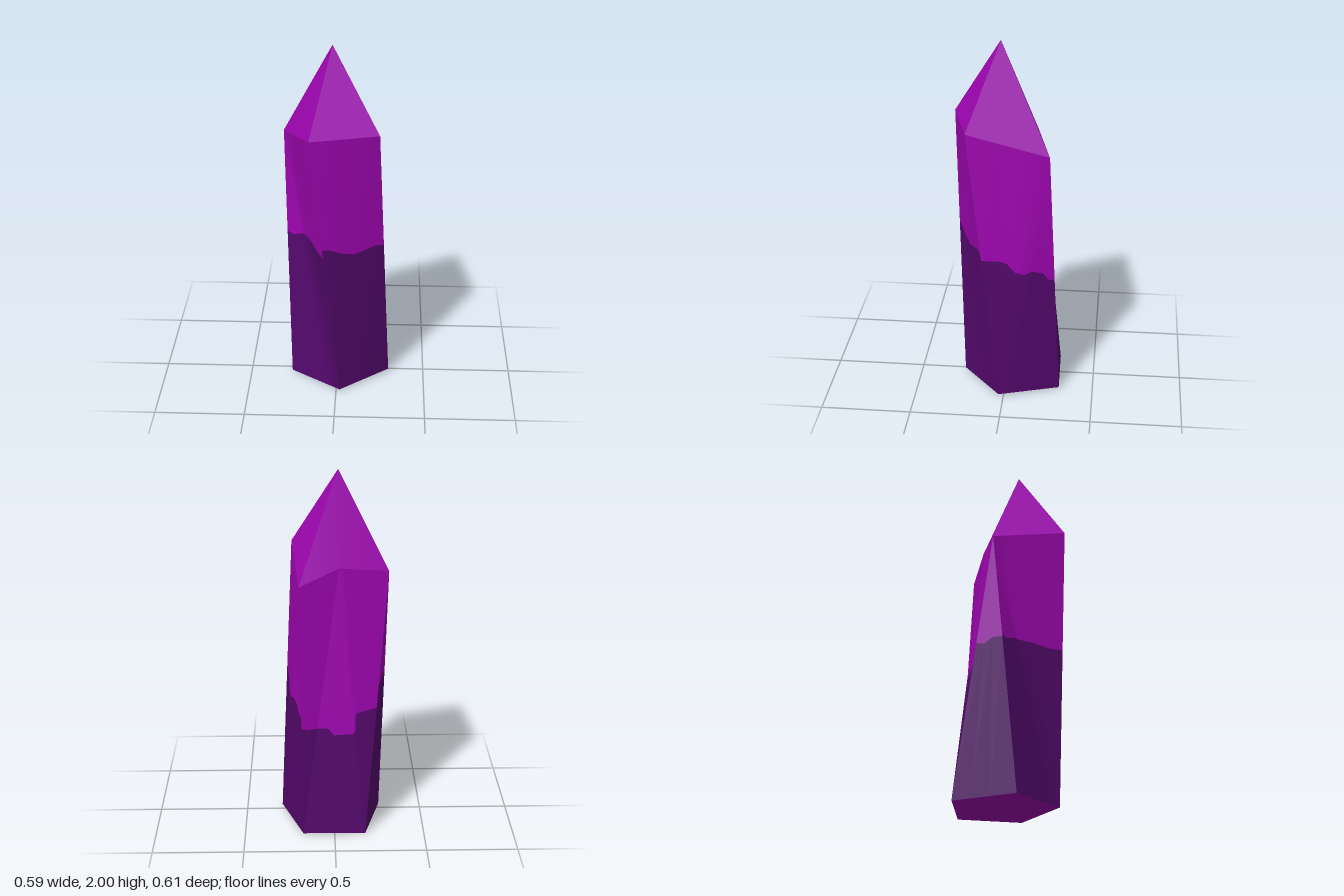
import * as THREE from 'three';
import { mergeGeometries, mergeVertices } from 'three/addons/utils/BufferGeometryUtils.js';

const V = (x, y, z) => new THREE.Vector3(x, y, z);
const mix = (a, b, t) => a.clone().lerp(b, t);

function surface(points, index) {
  const g = new THREE.BufferGeometry().setFromPoints(points);
  g.setIndex(index);
  return g;
}

// Fan of triangles around the first point
function fan(points) {
  const index = [];
  for (let i = 1; i < points.length - 1; i++) index.push(0, i, i + 1);
  return surface(points, index);
}

// Strip between a lower and an upper row, both running left to right seen from outside
function strip(low, high) {
  const n = low.length, index = [];
  for (let i = 0; i < n - 1; i++) index.push(i, i + 1, n + i + 1, i, n + i + 1, n + i);
  return surface([...low, ...high], index);
}

// Joins the pieces of one facet; normals are smooth inside it and sharp at its rim
function facet(pieces) {
  const g = mergeVertices(mergeGeometries(pieces));
  g.computeVertexNormals();
  return g;
}

// Point on the edge from bottom b to top t at height y
const atHeight = (b, t, y) => mix(b, t, (y - b.y) / (t.y - b.y));

export function createModel() {
  const purple = new THREE.MeshStandardMaterial({ color: 0x9c05ae });
  purple.name = 'bright purple';
  const violet = new THREE.MeshStandardMaterial({ color: 0x53086b });
  violet.name = 'dark violet';

  // Shoulder corners and the point
  const apex = V(-0.025, 2, 0.04);
  const A = V(-0.297, 1.47, -0.083), B = V(-0.14, 1.56, 0.305);
  const C = V(0.23, 1.56, 0.207), D = V(0.19, 1.43, -0.24), E = V(-0.025, 1.51, -0.163);
  // Foot corners
  const backRight = V(-0.172, 0, -0.3), backLeft = V(0.175, 0.005, -0.308);
  const left = V(0.297, 0.015, 0.027), front = V(0.02, 0.01, 0.247), right = V(-0.262, 0.004, 0.042);

  // Side facets, each a list of pieces:
  // bottom left, bottom right, top left, top right, ragged colour line [u, height]
  const sides = [
    [
      [right, front, A, A, [[0, 0.88], [0.3, 0.87], [0.75, 0.895], [1, 0.895]]],
      [front, front, A, B, [[0, 0.895], [0.3, 0.89], [0.7, 0.87], [1, 0.87]]],
    ],
    [
      [front, left, B, C, [[0, 0.92], [0.1, 0.915], [0.3, 0.88], [0.5, 0.86], [0.65, 0.87], [0.85, 0.89], [1, 0.885]]],
    ],
    [
      [left, left, C, D, [[0, 0.84], [0.42, 0.835], [0.56, 0.82], [0.76, 0.77], [1, 0.755]]],
      [left, backLeft, D, D, [[0, 0.755], [0.25, 0.77], [0.63, 0.75], [0.8, 0.71], [1, 0.7]]],
    ],
    [
      [backLeft, backLeft, D, E, [[0, 0.63], [0.5, 0.62], [1, 0.62]]],
    ],
    [
      [backLeft, backRight, E, E, [[0, 0.62], [0.28, 0.62], [0.45, 0.58], [0.95, 0.585], [1, 0.6]]],
      [backRight, backRight, E, A, [[0, 0.6], [0.1, 0.7], [1, 0.72]]],
    ],
    [
      [backRight, right, A, A, [[0, 0.85], [0.3, 0.84], [0.6, 0.87], [1, 0.87]]],
    ],
  ];
  const upper = [], lower = [];
  for (const pieces of sides) {
    const above = [], below = [];
    for (const [bl, br, tl, tr, line] of pieces) {
      const middle = line.map(([u, y]) => mix(atHeight(bl, tl, y), atHeight(br, tr, y), u));
      above.push(strip(middle, line.map(([u]) => mix(tl, tr, u))));
      below.push(strip(line.map(([u]) => mix(bl, br, u)), middle));
    }
    upper.push(facet(above));
    lower.push(facet(below));
  }

  // Pointed tip and flat foot
  const tip = [[A, B], [B, C], [C, D], [D, E, A]].map((row) => facet([fan([apex, ...row])]));
  const foot = [facet([fan([right, backRight, backLeft, left, front])])];

  const group = new THREE.Group();
  group.name = 'crystal';
  const add = (name, parts, material) => {
    const mesh = new THREE.Mesh(mergeGeometries(parts), material);
    mesh.name = name;
    group.add(mesh);
  };
  add('crystalTip', tip, purple);
  add('upperShaft', upper, purple);
  add('lowerShaft', lower, violet);
  add('crystalFoot', foot, purple);
  return group;
}
